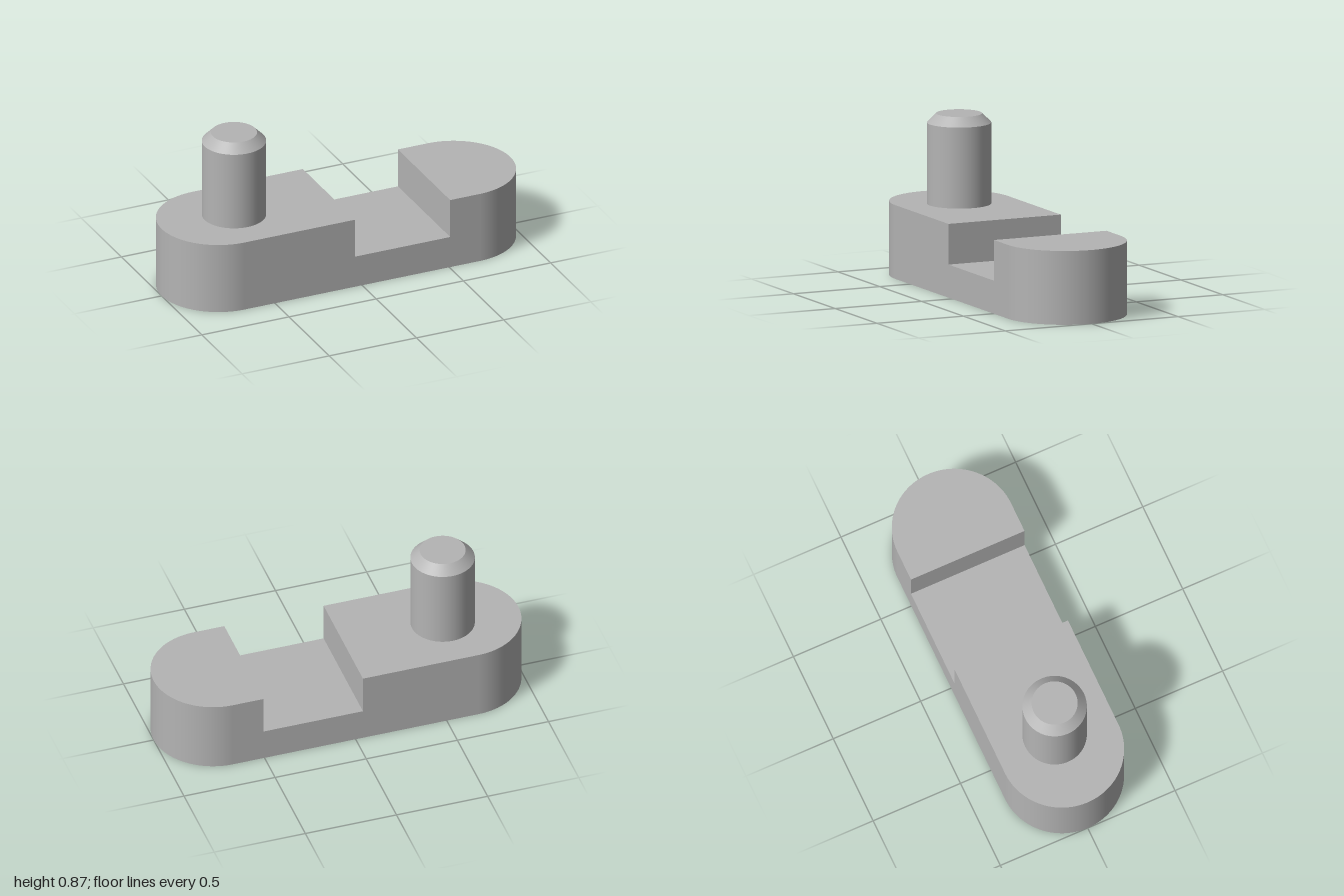
import * as THREE from 'three';

const R = 0.325;          // half width and end radius
const CX = 1 - R;         // centre of each rounded end
const TOP = 0.39, FLOOR = 0.175;
const NOTCH = [-0.04, 0.505];

// Slotted bar with round ends, skinned across sections [x, height, half width]
function barGeometry() {
  const N = 32, sections = [];
  const endSection = (side, a) => [side * (CX + R * Math.cos(a)), TOP, R * Math.sin(a)];
  for (let i = 0; i <= N; i++) sections.push(endSection(-1, (i / N) * Math.PI / 2));
  sections.push([NOTCH[0], TOP, R], [NOTCH[0], FLOOR, R], [NOTCH[1], FLOOR, R], [NOTCH[1], TOP, R]);
  for (let i = N; i >= 0; i--) sections.push(endSection(1, (i / N) * Math.PI / 2));

  const pos = [], nor = [];
  const quad = (p, n) => [0, 1, 2, 0, 2, 3].forEach((k) => {
    pos.push(...p[k]);
    nor.push(...n[k]);
  });
  // Outward normal of the side wall at x
  const wallNormal = ([x, , w], s) => {
    const dx = Math.sign(x) * Math.max(0, Math.abs(x) - CX);
    return new THREE.Vector3(dx, 0, s * w).normalize().toArray();
  };

  for (let i = 0; i < sections.length - 1; i++) {
    const a = sections[i], b = sections[i + 1];
    const [ax, ah, aw] = a, [bx, bh, bw] = b;
    // Top faces, including the notch walls
    const up = new THREE.Vector3(ah - bh, bx - ax, 0).normalize().toArray();
    quad([[ax, ah, aw], [bx, bh, bw], [bx, bh, -bw], [ax, ah, -aw]], [up, up, up, up]);
    if (bx - ax < 1e-6) continue;
    // Underside
    const down = [0, -1, 0];
    quad([[ax, 0, -aw], [bx, 0, -bw], [bx, 0, bw], [ax, 0, aw]], [down, down, down, down]);
    // Front and back walls
    const af = wallNormal(a, 1), bf = wallNormal(b, 1);
    const ab = wallNormal(a, -1), bb = wallNormal(b, -1);
    quad([[ax, 0, aw], [bx, 0, bw], [bx, bh, bw], [ax, ah, aw]], [af, bf, bf, af]);
    quad([[bx, 0, -bw], [ax, 0, -aw], [ax, ah, -aw], [bx, bh, -bw]], [bb, ab, ab, bb]);
  }

  const g = new THREE.BufferGeometry();
  g.setAttribute('position', new THREE.Float32BufferAttribute(pos, 3));
  g.setAttribute('normal', new THREE.Float32BufferAttribute(nor, 3));
  return g;
}

export function createModel() {
  const model = new THREE.Group();
  model.name = 'slottedBarWithPin';
  const grey = new THREE.MeshStandardMaterial({ color: 0xb4b4b4 });
  grey.name = 'plain grey';

  const add = (parent, name, geometry, y = 0) => {
    const mesh = new THREE.Mesh(geometry, grey);
    mesh.name = name;
    mesh.position.y = y;
    parent.add(mesh);
  };

  add(model, 'slottedBar', barGeometry());

  // Upright pin with a chamfered tip
  const pin = new THREE.Group();
  pin.name = 'pin';
  pin.position.x = -0.585;
  const r = 0.168, tipR = 0.12, shoulder = 0.818, tip = 0.866;
  add(pin, 'pinShaft', new THREE.CylinderGeometry(r, r, shoulder - TOP, 64, 1, true), (shoulder + TOP) / 2);
  add(pin, 'pinChamfer', new THREE.CylinderGeometry(tipR, r, tip - shoulder, 64, 1, true), (tip + shoulder) / 2);
  add(pin, 'pinTip', new THREE.CircleGeometry(tipR, 64).rotateX(-Math.PI / 2), tip);
  model.add(pin);

  return model;
}
